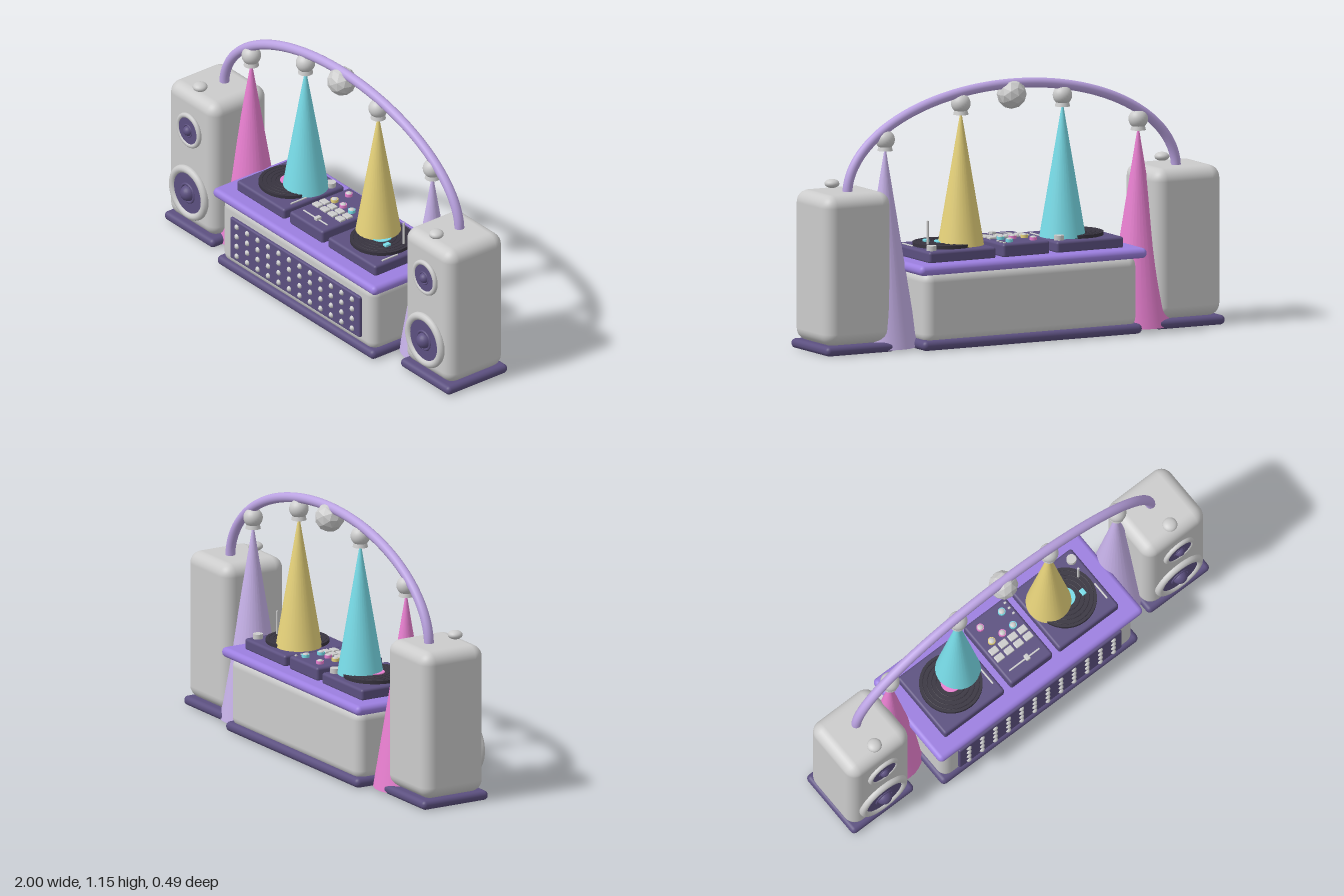
import * as THREE from 'three';
import { RoundedBoxGeometry } from 'three/addons/geometries/RoundedBoxGeometry.js';

const mat = (color, extra = {}) => new THREE.MeshStandardMaterial({ color, ...extra });
const grey = mat(0xcccccc);
const violet = mat(0x9c7fe0);
const lilac = mat(0xbba3e2);
const plum = mat(0x5c5080);
const dark = mat(0x37333f);
const pink = mat(0xe87fd0);
const cyan = mat(0x78dce8);
const yellow = mat(0xe6d27a);
const paleLilac = mat(0xc6b1e8);
const facetGrey = mat(0xcccccc, { flatShading: true });

function add(parent, name, geometry, material, x = 0, y = 0, z = 0) {
  const mesh = new THREE.Mesh(geometry, material);
  mesh.name = name;
  mesh.position.set(x, y, z);
  parent.add(mesh);
  return mesh;
}

function group(parent, name, x = 0, y = 0, z = 0) {
  const g = new THREE.Group();
  g.name = name;
  g.position.set(x, y, z);
  parent.add(g);
  return g;
}

// Rounded box given by its size and bottom height
function box(parent, name, material, w, h, d, r, x, y0, z = 0) {
  return add(parent, name, new RoundedBoxGeometry(w, h, d, 4, r), material, x, y0 + h / 2, z);
}

// Upright cylinder given by its bottom height
function disc(parent, name, material, r, h, x, y0, z, rTop = r) {
  return add(parent, name, new THREE.CylinderGeometry(rTop, r, h, 32), material, x, y0 + h / 2, z);
}

// Speaker cone unit facing +z: ring, membrane and dust cap
function driver(parent, name, y, r) {
  const g = group(parent, name, 0, y, 0.155);
  const tube = r * 0.14;
  add(g, 'ring', new THREE.TorusGeometry(r - tube, tube, 12, 40), grey, 0, 0, 0.008);
  const plate = add(g, 'plate', new THREE.CylinderGeometry(r * 0.9, r * 0.9, 0.012, 40), grey, 0, 0, 0.003);
  const membrane = add(g, 'membrane', new THREE.CylinderGeometry(r * 0.77, r * 0.77, 0.018, 40), plum, 0, 0, 0.006);
  plate.rotation.x = membrane.rotation.x = Math.PI / 2;
  add(g, 'innerRing', new THREE.TorusGeometry(r * 0.33, r * 0.05, 8, 32), plum, 0, 0, 0.014);
  add(g, 'dustCap', new THREE.SphereGeometry(r * 0.28, 20, 14), plum, 0, 0, 0.012);
}

function speaker(parent, name, x) {
  const g = group(parent, name, x);
  box(g, 'speakerBase', plum, 0.345, 0.042, 0.34, 0.02, 0, 0);
  box(g, 'cabinet', grey, 0.335, 0.668, 0.315, 0.055, 0, 0.038);
  driver(g, 'woofer', 0.21, 0.13);
  driver(g, 'tweeter', 0.525, 0.083);
  add(g, 'topKnob', new THREE.SphereGeometry(0.033, 20, 14), grey, 0, 0.724, 0.1).scale.y = 0.6;
}

function turntable(parent, name, x, accent) {
  const g = group(parent, name, x, 0.375);
  box(g, 'deck', plum, 0.335, 0.053, 0.34, 0.012, 0, 0);
  disc(g, 'platter', dark, 0.14, 0.016, 0, 0.052, 0);
  for (let i = 0; i < 4; i++) {
    const groove = add(g, 'groove', new THREE.TorusGeometry(0.065 + i * 0.02, 0.002, 6, 48), dark, 0, 0.068, 0);
    groove.rotation.x = Math.PI / 2;
  }
  disc(g, 'label', accent, 0.045, 0.004, 0, 0.068, 0);
  disc(g, 'spindle', grey, 0.006, 0.014, 0, 0.068, 0);
  disc(g, 'armPivot', grey, 0.022, 0.022, 0.132, 0.053, -0.122);
  disc(g, 'armPost', grey, 0.005, 0.12, 0.105, 0.052, -0.04);
  box(g, 'armHead', accent, 0.022, 0.012, 0.03, 0.003, 0.075, 0.068, 0.03);
  box(g, 'pitchSlider', grey, 0.008, 0.008, 0.09, 0.003, 0.145, 0.05, 0.07);
}

function mixer(parent) {
  const g = group(parent, 'mixer', 0, 0.375);
  box(g, 'mixerBody', plum, 0.234, 0.063, 0.34, 0.012, 0, 0);
  const knobs = [[-0.06, -0.12, pink], [0.06, -0.12, cyan], [-0.06, -0.04, yellow], [0, -0.04, pink], [0.06, -0.04, cyan]];
  for (const [x, z, m] of knobs) {
    disc(g, 'knob', m, 0.017, 0.014, x, 0.062, z);
    add(g, 'knobCap', new THREE.SphereGeometry(0.014, 16, 10), grey, x, 0.075, z).scale.y = 0.5;
  }
  for (let i = 0; i < 4; i++) {
    for (const z of [0.0, 0.04]) box(g, 'pad', grey, 0.042, 0.014, 0.032, 0.004, -0.08 + i * 0.0533, 0.058, z);
  }
  for (let i = 0; i < 3; i++) box(g, 'indicator', grey, 0.012, 0.008, 0.01, 0.002, 0.098, 0.06, -0.145 + i * 0.03);
  box(g, 'faderTrack', grey, 0.17, 0.006, 0.008, 0.002, 0, 0.06, 0.115);
  box(g, 'faderHandle', grey, 0.022, 0.016, 0.03, 0.004, 0.015, 0.06, 0.115);
}

// Lamp on the arch with its cone of light
function spotlight(parent, name, x, lampY, beamBottom, beamRadius, color) {
  const g = group(parent, name, x, 0, -0.033);
  add(g, 'lamp', new THREE.SphereGeometry(0.043, 24, 16), grey, 0, lampY, 0);
  disc(g, 'lampCollar', grey, 0.034, 0.022, 0, lampY - 0.049, 0, 0.028);
  const top = lampY - 0.047;
  disc(g, 'lightBeam', color, beamRadius, top - beamBottom, 0, beamBottom, 0, 0.004);
}

export function createModel() {
  const model = new THREE.Group();
  model.name = 'musicBooth';

  // Table
  const table = group(model, 'table');
  box(table, 'tableBase', plum, 1.1, 0.045, 0.47, 0.022, 0, 0);
  box(table, 'tableBody', grey, 1.07, 0.32, 0.44, 0.045, 0, 0.025);
  box(table, 'counter', violet, 1.14, 0.045, 0.486, 0.022, 0, 0.335);
  box(table, 'frontPanel', plum, 0.91, 0.205, 0.03, 0.008, 0, 0.075, 0.218);
  const stud = new THREE.SphereGeometry(0.0135, 12, 8);
  for (let i = 0; i < 12; i++) {
    for (let j = 0; j < 4; j++) {
      add(table, 'stud', stud, grey, -0.404 + i * 0.0735, 0.104 + j * 0.049, 0.231);
    }
  }

  // Equipment on the counter
  turntable(model, 'rightTurntable', -0.32, pink);
  turntable(model, 'leftTurntable', 0.32, cyan);
  mixer(model);

  // Speakers
  speaker(model, 'rightSpeaker', -0.828);
  speaker(model, 'leftSpeaker', 0.828);

  // Arch between the speakers
  const points = [];
  for (let i = 0; i <= 32; i++) {
    const a = Math.PI * i / 32;
    points.push(new THREE.Vector3(-0.825 * Math.cos(a), 0.69 + 0.435 * Math.sin(a), -0.033));
  }
  add(model, 'arch', new THREE.TubeGeometry(new THREE.CatmullRomCurve3(points), 96, 0.022, 16), lilac);
  add(model, 'mirrorBall', new THREE.IcosahedronGeometry(0.066, 1), facetGrey, 0, 1.078, -0.033);

  // Spotlights
  spotlight(model, 'outerRightSpotlight', -0.635, 0.922, 0.008, 0.145, pink);
  spotlight(model, 'innerRightSpotlight', -0.255, 1.055, 0.43, 0.102, cyan);
  spotlight(model, 'innerLeftSpotlight', 0.255, 1.055, 0.43, 0.102, yellow);
  spotlight(model, 'outerLeftSpotlight', 0.635, 0.922, 0.008, 0.145, paleLilac);

  return model;
}
